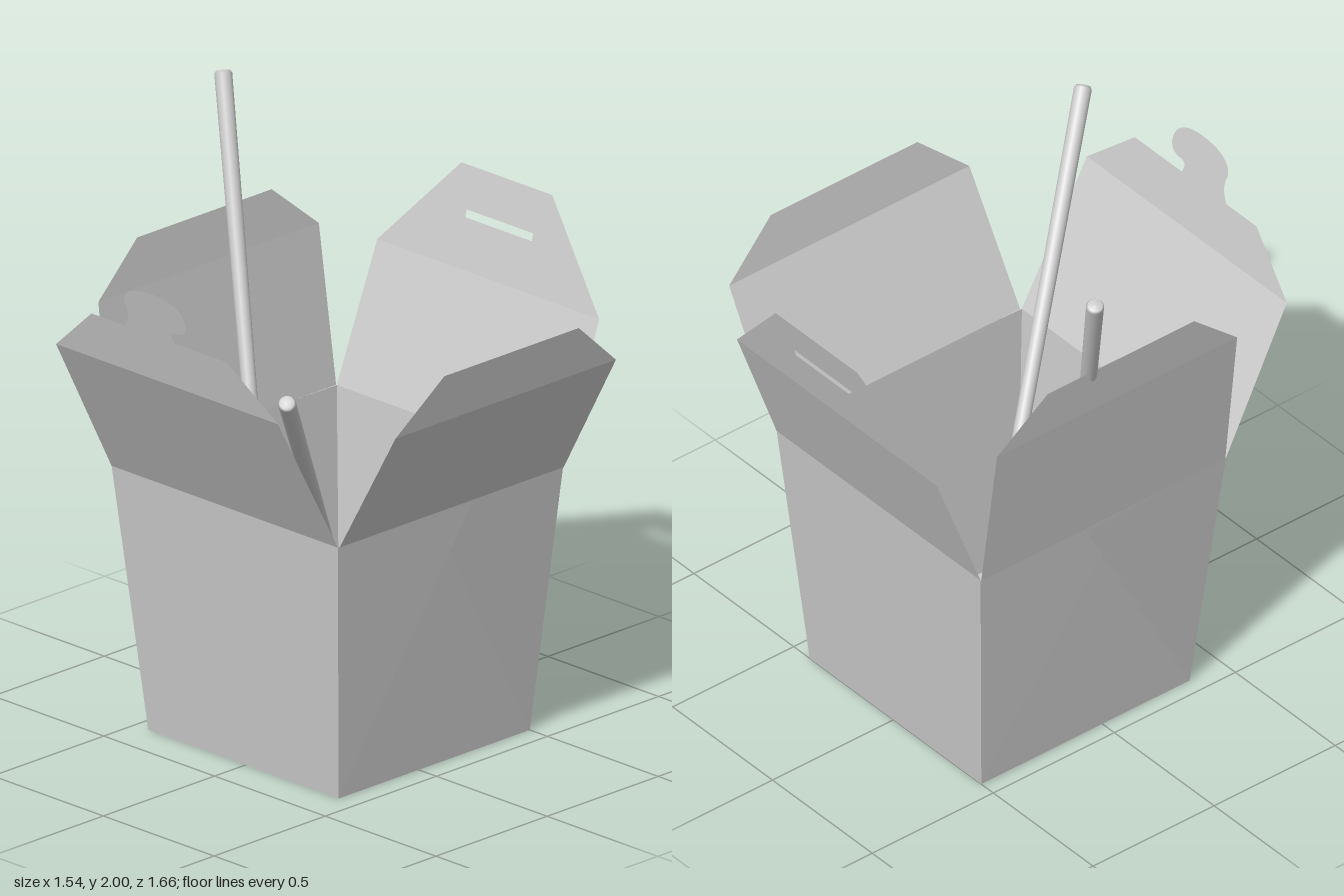
import * as THREE from 'three';

const paper = new THREE.MeshStandardMaterial({ color: 0xcccccc, side: THREE.DoubleSide });
const wood = new THREE.MeshStandardMaterial({ color: 0xcccccc });
const RIM = 0.9;

function sheet(name, geometry) {
  const mesh = new THREE.Mesh(geometry, paper);
  mesh.name = name;
  return mesh;
}

// Flat convex panel from 3D corners
function panel(name, corners) {
  const pos = [];
  for (let i = 1; i < corners.length - 1; i++) pos.push(...corners[0], ...corners[i], ...corners[i + 1]);
  const geo = new THREE.BufferGeometry();
  geo.setAttribute('position', new THREE.Float32BufferAttribute(pos, 3));
  geo.computeVertexNormals();
  return sheet(name, geo);
}

const outline = (pts) => new THREE.Shape(pts.map(([u, y]) => new THREE.Vector2(u, y)));

// Lean a (u, y) shape outward: d runs from a to b between heights y0 and y1
function leaning(name, shape, axis, y0, a, y1, b) {
  const geo = new THREE.ShapeGeometry(shape, 8);
  const p = geo.attributes.position;
  for (let i = 0; i < p.count; i++) {
    const u = p.getX(i), y = p.getY(i);
    const d = a + (b - a) * (y - y0) / (y1 - y0);
    if (axis === 'z') p.setXYZ(i, u, y, d);
    else p.setXYZ(i, d, y, u);
  }
  geo.computeVertexNormals();
  return sheet(name, geo);
}

// Lid flap: lower panel, crease, then a tapering upper panel
function flap({ name, axis, base, fold, tip, foldY, tipY, rim, wide, narrow, detail }) {
  const group = new THREE.Group();
  group.name = name;
  const lower = outline([[rim[0], RIM], [rim[1], RIM], [wide[1], foldY], [wide[0], foldY]]);
  const upper = outline([[wide[0], foldY], [wide[1], foldY], [narrow[1], tipY]]);
  if (detail) detail(upper);
  upper.lineTo(narrow[0], tipY);
  group.add(leaning(name + 'Lower', lower, axis, RIM, base, foldY, fold));
  group.add(leaning(name + 'Upper', upper, axis, foldY, fold, tipY, tip));
  return group;
}

// Rounded locking tab, traced right to left
function lockingTab(s) {
  s.lineTo(0.06, 1.56);
  s.quadraticCurveTo(0.04, 1.60, 0.08, 1.6);
  s.quadraticCurveTo(0.125, 1.6, 0.13, 1.64);
  s.bezierCurveTo(0.13, 1.70, 0.07, 1.72, 0, 1.72);
  s.bezierCurveTo(-0.08, 1.72, -0.145, 1.70, -0.145, 1.65);
  s.quadraticCurveTo(-0.125, 1.60, -0.165, 1.56);
}

// Narrow slot that receives the tab
function slot(s) {
  s.holes.push(new THREE.Path([[-0.16, 1.515], [-0.16, 1.54], [0.14, 1.54], [0.14, 1.515]]
    .map(([x, y]) => new THREE.Vector2(x, y))));
}

// Tapered round stick with softly rounded ends
function chopstick(name, top, bottom) {
  const a = new THREE.Vector3(...bottom), b = new THREE.Vector3(...top);
  const L = a.distanceTo(b), r0 = 0.02, r1 = 0.029;
  const profile = [[0, 0], [r0 * 0.7, 0.002], [r0, 0.012], [r1, L - 0.012], [r1 * 0.8, L - 0.002], [0, L]];
  const geo = new THREE.LatheGeometry(profile.map(([r, y]) => new THREE.Vector2(r, y)), 20);
  const mesh = new THREE.Mesh(geo, wood);
  mesh.name = name;
  mesh.position.copy(a);
  mesh.quaternion.setFromUnitVectors(new THREE.Vector3(0, 1, 0), b.sub(a).normalize());
  return mesh;
}

export function createModel() {
  const model = new THREE.Group();
  model.name = 'takeoutBox';

  // Tapered carton body, corners counted round from front right
  const low = [[-0.44, 0, 0.36], [0.42, 0, 0.36], [0.42, 0, -0.5], [-0.44, 0, -0.5]];
  const high = [[-0.525, RIM, 0.44], [0.497, RIM, 0.44], [0.497, RIM, -0.573], [-0.525, RIM, -0.573]];
  const body = new THREE.Group();
  body.name = 'body';
  body.add(panel('base', [...low].reverse()));
  ['frontWall', 'leftWall', 'backWall', 'rightWall'].forEach((name, i) => {
    const j = (i + 1) % 4;
    body.add(panel(name, [low[i], low[j], high[j], high[i]]));
  });

  // Overlapping corner folds lying on the outside of both side walls
  for (const [side, f, b] of [[1, 1, 2], [-1, 0, 3]]) {
    const x = high[f][0];
    const word = side > 0 ? 'left' : 'right';
    body.add(panel(word + 'FrontFold', [low[f], high[f], [x + side * 0.015, RIM, -0.15]]));
    body.add(panel(word + 'BackFold', [low[b], high[b], [x + side * 0.009, RIM, 0.02]]));
  }
  model.add(body);

  // Four open lid flaps
  const acrossX = { axis: 'z', rim: [-0.525, 0.497], wide: [-0.515, 0.487] };
  const acrossZ = { axis: 'x', rim: [-0.573, 0.435], wide: [-0.567, 0.425], narrow: [-0.37, 0.235] };
  model.add(
    flap({ ...acrossX, name: 'frontFlap', base: 0.44, fold: 0.7, tip: 0.74, foldY: 1.39, tipY: 1.56,
      narrow: [-0.315, 0.295], detail: lockingTab }),
    flap({ ...acrossX, name: 'backFlap', base: -0.573, fold: -0.745, tip: -0.83, foldY: 1.355, tipY: 1.675,
      narrow: [-0.22, 0.19], detail: slot }),
    flap({ ...acrossZ, name: 'leftFlap', base: 0.5, fold: 0.742, tip: 0.772, foldY: 1.335, tipY: 1.505 }),
    flap({ ...acrossZ, name: 'rightFlap', base: -0.528, fold: -0.6, tip: -0.615, foldY: 1.435, tipY: 1.6 }),
  );

  // Pair of chopsticks resting in the box
  model.add(
    chopstick('tallChopstick', [-0.75, 1.995, -0.285], [0.005, 0.02, 0.215]),
    chopstick('leaningChopstick', [0.637, 1.535, 0.81], [-0.305, 0.02, -0.47]),
  );
  return model;
}
